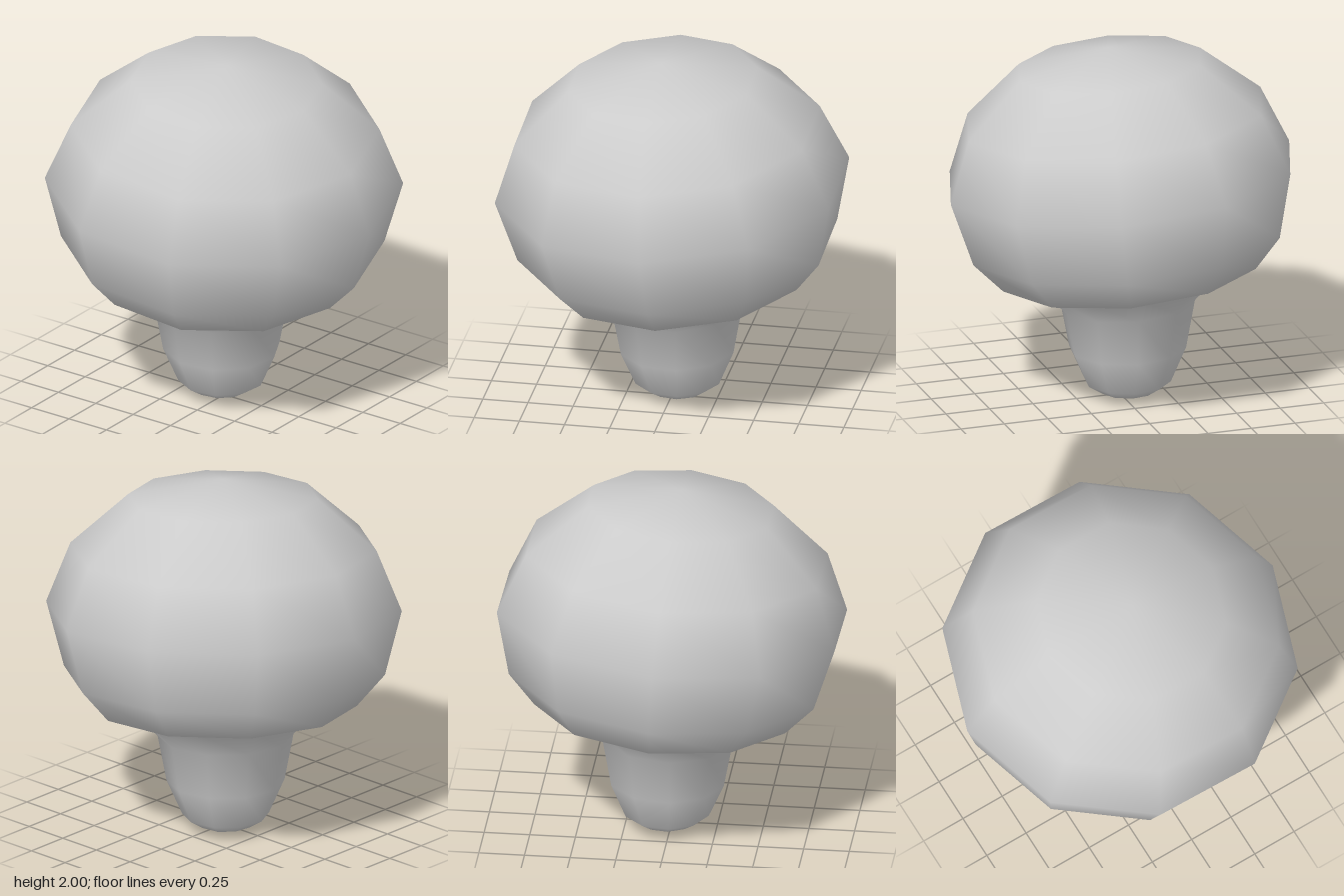
import * as THREE from 'three';

const SIDES = 10;

// Closed smooth skin over ten-sided rings [y, radius] listed from top to bottom,
// with the corners turned about the axis by the given degrees.
function loft(turn, topY, rings, bottomY) {
  const pos = [0, topY, 0];
  const index = [];
  const at = (ring, i) => 1 + ring * SIDES + (i % SIDES);
  for (const [y, r] of rings) {
    for (let i = 0; i < SIDES; i++) {
      const a = THREE.MathUtils.degToRad((360 / SIDES) * i + turn);
      pos.push(r * Math.cos(a), y, r * Math.sin(a));
    }
  }
  const last = rings.length - 1;
  const bottom = pos.length / 3;
  pos.push(0, bottomY, 0);
  for (let i = 0; i < SIDES; i++) {
    index.push(0, at(0, i + 1), at(0, i));
    for (let k = 0; k < last; k++) {
      index.push(at(k, i), at(k, i + 1), at(k + 1, i));
      index.push(at(k, i + 1), at(k + 1, i + 1), at(k + 1, i));
    }
    index.push(bottom, at(last, i), at(last, i + 1));
  }
  const geometry = new THREE.BufferGeometry();
  geometry.setAttribute('position', new THREE.Float32BufferAttribute(pos, 3));
  geometry.setIndex(index);
  return geometry;
}

export function createModel() {
  const group = new THREE.Group();
  group.name = 'mushroomTree';
  const material = new THREE.MeshStandardMaterial({ color: 0xcccccc });

  // Rounded cap with a flattened underside, leaning slightly
  const capGeometry = loft(18, 0.72, [
    [0.62, 0.52],
    [0.335, 0.84],
    [0, 0.975],
    [-0.365, 0.88],
    [-0.545, 0.725],
    [-0.59, 0.5],
  ], -0.6);
  capGeometry.computeVertexNormals();
  const cap = new THREE.Mesh(capGeometry, material);
  cap.name = 'cap';
  cap.position.set(0, 1.28, 0);
  cap.rotation.set(0.073, 0, 0.068);
  group.add(cap);

  // Stem with a rounded foot, flaring into the underside of the cap
  const stemGeometry = loft(9, 0.85, [
    [0.8, 0.6],
    [0.69, 0.505],
    [0.54, 0.37],
    [0.28, 0.322],
    [0.085, 0.238],
    [0.03, 0.155],
  ], 0);
  // Rings lean progressively to follow the tilt of the cap
  const p = stemGeometry.attributes.position;
  for (let i = 0; i < p.count; i++) {
    const lean = Math.min(1, p.getY(i) / 0.7);
    p.setY(i, p.getY(i) + lean * (0.06 * p.getX(i) - 0.065 * p.getZ(i)));
  }
  stemGeometry.computeVertexNormals();
  const stem = new THREE.Mesh(stemGeometry, material);
  stem.name = 'stem';
  stem.position.set(0.025, 0, -0.035);
  group.add(stem);

  return group;
}
